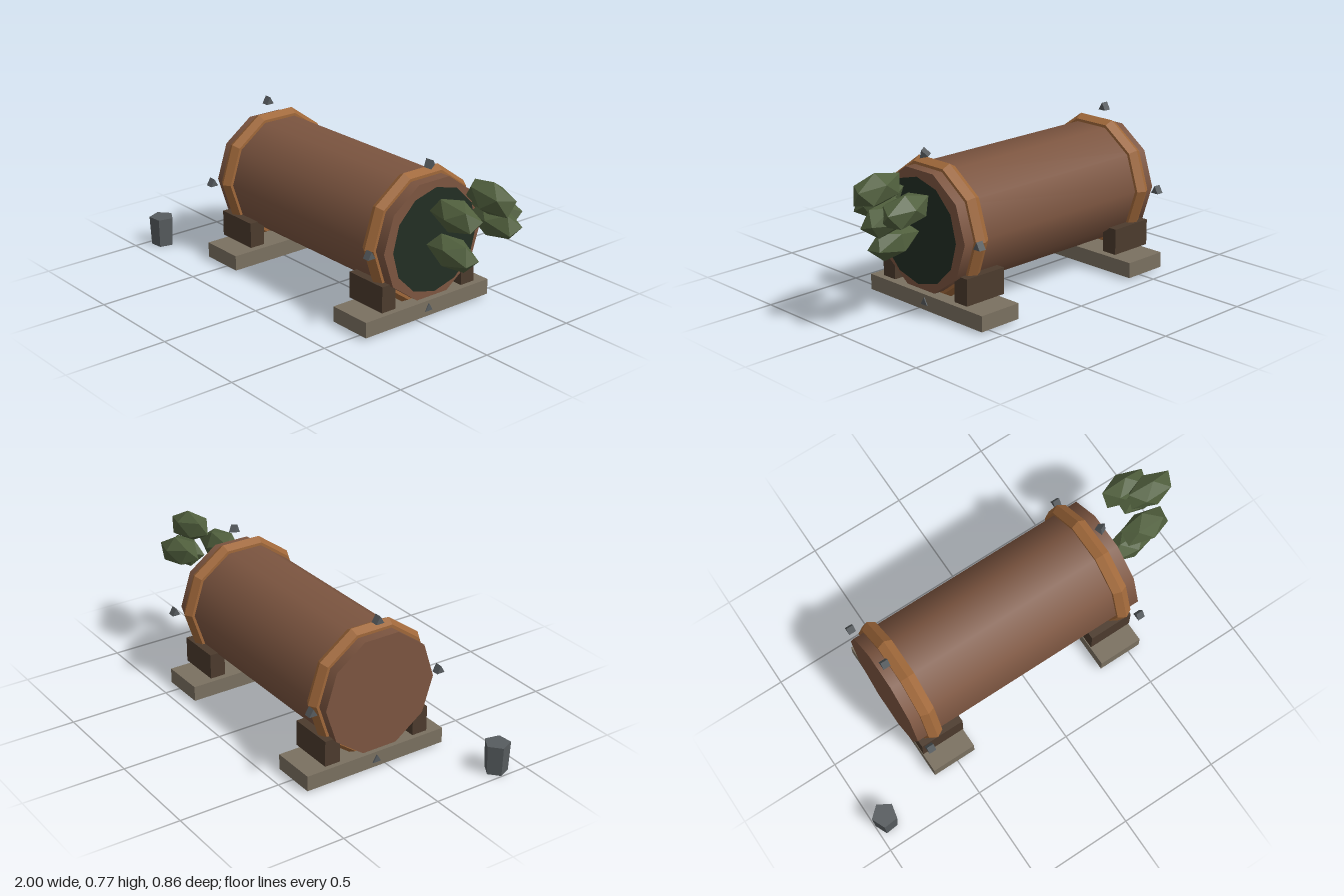
import * as THREE from 'three';

const mat = (name, color) => {
  const m = new THREE.MeshStandardMaterial({ color });
  m.name = name;
  return m;
};

// Geometry with one normal per face
const faceted = (g) => {
  const f = g.index ? g.toNonIndexed() : g;
  f.computeVertexNormals();
  return f;
};

export function createModel() {
  const model = new THREE.Group();
  const wood = mat('barrel wood', 0x7c5540);
  const hoopWood = mat('hoop orange', 0xa0683a);
  const plankWood = mat('weathered plank', 0x7a7060);
  const blockWood = mat('dark block', 0x4c3b2d);
  const hollow = mat('dark green opening', 0x222e24);
  const leaf = mat('leaf green', 0x505f3d);
  const iron = mat('iron grey', 0x575c5f);

  const add = (name, geo, material, x, y, z) => {
    const mesh = new THREE.Mesh(geo, material);
    mesh.name = name;
    mesh.position.set(x, y, z);
    model.add(mesh);
    return mesh;
  };

  const CY = 0.395, CZ = -0.06; // barrel axis

  // Barrel: ten-sided, smooth around, lying along x with corners at +z and -z
  const barrelGeo = new THREE.CylinderGeometry(0.29, 0.29, 1.23, 10).rotateZ(-Math.PI / 2);
  add('barrel', barrelGeo, wood, -0.035, CY, CZ);

  // Dark opening at the left end
  const openingGeo = new THREE.CircleGeometry(0.25, 12).rotateY(Math.PI / 2);
  add('opening', openingGeo, hollow, 0.595, CY, CZ);

  // Hoops
  const hoopGeo = faceted(new THREE.TorusGeometry(0.283, 0.042, 6, 10).rotateY(Math.PI / 2));
  for (const x of [-0.5625, 0.49]) add('hoop', hoopGeo, hoopWood, x, CY, CZ);

  // Cradles: a plank with a pair of wedge blocks under each end
  const plankGeo = new THREE.BoxGeometry(0.225, 0.075, 0.745);
  const blockGeo = new THREE.BoxGeometry(0.225, 0.126, 0.079);
  for (const x of [-0.5175, 0.4475]) {
    add('plank', plankGeo, plankWood, x, 0.049, CZ);
    for (const side of [-1, 1]) add('block', blockGeo, blockWood, x, 0.168, CZ + side * 0.24);
  }

  // Bolts: three-sided pegs around each hoop
  const boltGeo = faceted(new THREE.CylinderGeometry(0.024, 0.024, 0.036, 3).rotateX(-Math.PI / 2).rotateY(Math.PI / 2));
  for (const x of [-0.619, 0.547]) {
    for (let i = 0; i < 4; i++) {
      const a = i * Math.PI / 2;
      const bolt = add('bolt', boltGeo, iron, x, CY + 0.346 * Math.sin(a), CZ + 0.346 * Math.cos(a));
      if (i === 1 && x > 0) bolt.rotation.set(0.3, 0.4, -0.3);
    }
  }

  // Five-sided stone post beside the barrel
  const postGeo = faceted(new THREE.CylinderGeometry(0.062, 0.055, 0.145, 5));
  add('post', postGeo, iron, -0.943, 0.0725, 0.374).rotation.y = Math.PI + 0.1;

  // Leaf clumps: stretched icosahedra drooping outward
  const clumps = [
    [0.722, 0.376, -0.045, 0.1],
    [0.772, 0.573, -0.012, 0.5],
    [0.872, 0.66, -0.12, 1.0],
    [0.858, 0.542, -0.165, 0.3],
    [0.806, 0.573, -0.222, 0.8],
  ];
  for (const [x, y, z, roll] of clumps) {
    const geo = faceted(new THREE.IcosahedronGeometry(1, 0).rotateX(roll).scale(0.143, 0.077, 0.076));
    add('leafClump', geo, leaf, x, y, z).rotation.set(0, 0.06, -0.16);
  }

  return model;
}
